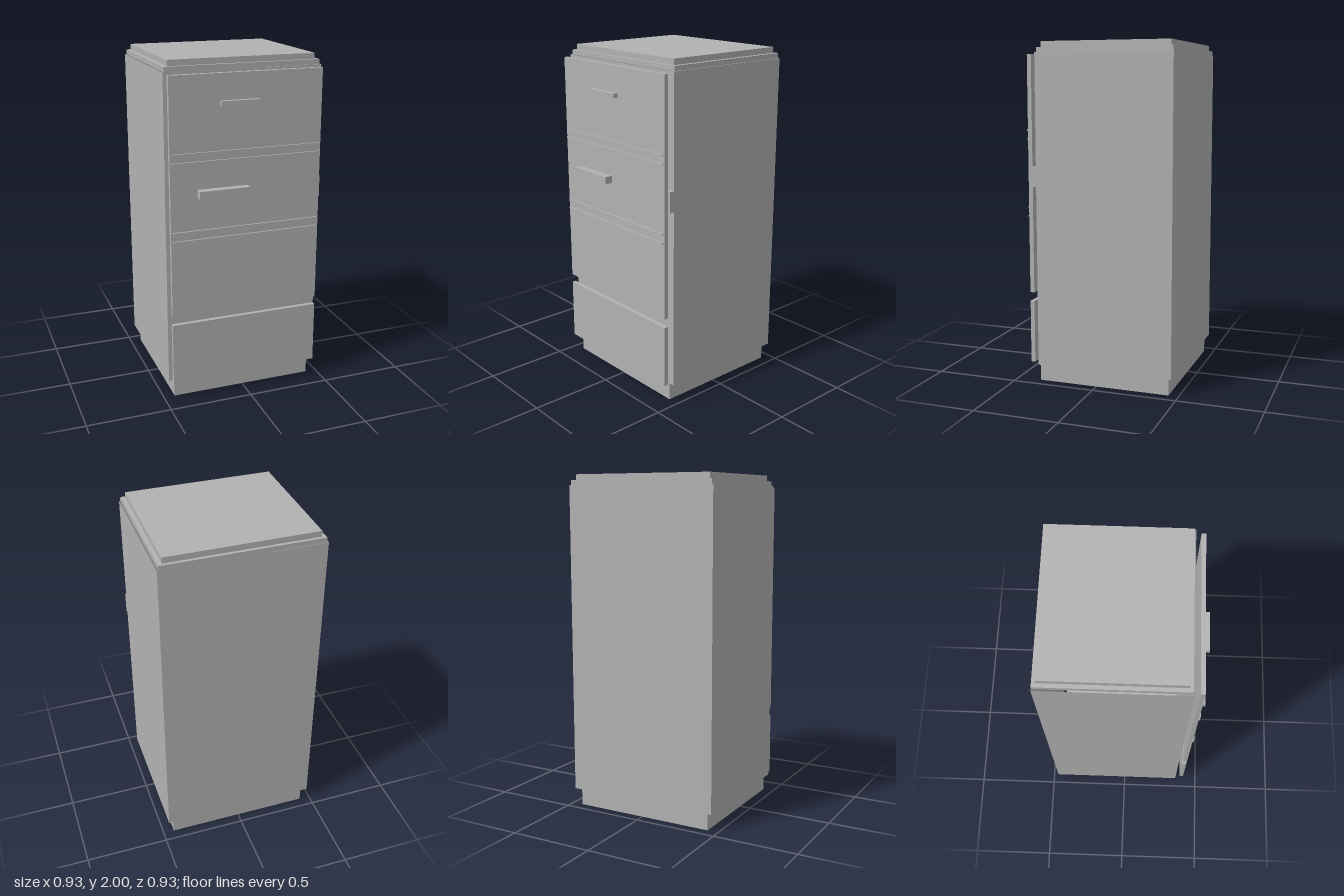
import * as THREE from 'three';

const grey = new THREE.MeshStandardMaterial({ color: 0xb2b2b2, side: THREE.DoubleSide });
grey.name = 'grey enamel';

// Box given by its limits; omit lists faces left open (0 +x, 1 -x, 2 +y, 3 -y, 4 +z, 5 -z)
function block(name, [x0, x1], [y0, y1], [z0, z1], omit = []) {
  const geo = new THREE.BoxGeometry(x1 - x0, y1 - y0, z1 - z0);
  const index = Array.from(geo.index.array);
  geo.setIndex(index.filter((_, i) => !omit.includes(Math.floor(i / 6))));
  geo.clearGroups();
  geo.translate((x0 + x1) / 2, (y0 + y1) / 2, (z0 + z1) / 2);
  const mesh = new THREE.Mesh(geo, grey);
  mesh.name = name;
  return mesh;
}

export function createModel() {
  const model = new THREE.Group();
  model.name = 'cabinet';

  // Hollow plinth, open underneath
  model.add(block('plinth', [-0.434, 0.434], [0, 0.105], [-0.44, 0.354], [3]));

  // Body shell: four walls
  model.add(block('body', [-0.467, 0.467], [0.105, 1.938], [-0.463, 0.354], [2, 3]));

  // Stepped top
  model.add(block('topRim', [-0.458, 0.458], [1.938, 1.966], [-0.459, 0.346]));
  model.add(block('topPanel', [-0.435, 0.435], [1.966, 2], [-0.441, 0.328]));

  // Front panels, standing clear of the body
  const panelZ = [0.383, 0.408];
  model.add(block('lowerFront', [-0.453, 0.451], [0.115, 0.487], panelZ));
  model.add(block('upperFront', [-0.453, 0.451], [0.54, 1.928], panelZ));

  // Two pairs of trim strips
  for (const y of [0.995, 1.048, 1.446, 1.496]) {
    model.add(block('trimStrip', [-0.441, 0.441], [y - 0.005, y + 0.005], [0.408, 0.418]));
  }

  // Handles
  model.add(block('upperHandle', [-0.162, 0.06], [1.754, 1.78], [0.414, 0.441]));
  model.add(block('middleHandle', [-0.299, -0.002], [1.249, 1.292], [0.416, 0.463]));

  // Side hinge between body and front
  model.add(block('hinge', [0.446, 0.467], [1.171, 1.291], [0.347, 0.383]));

  return model;
}
